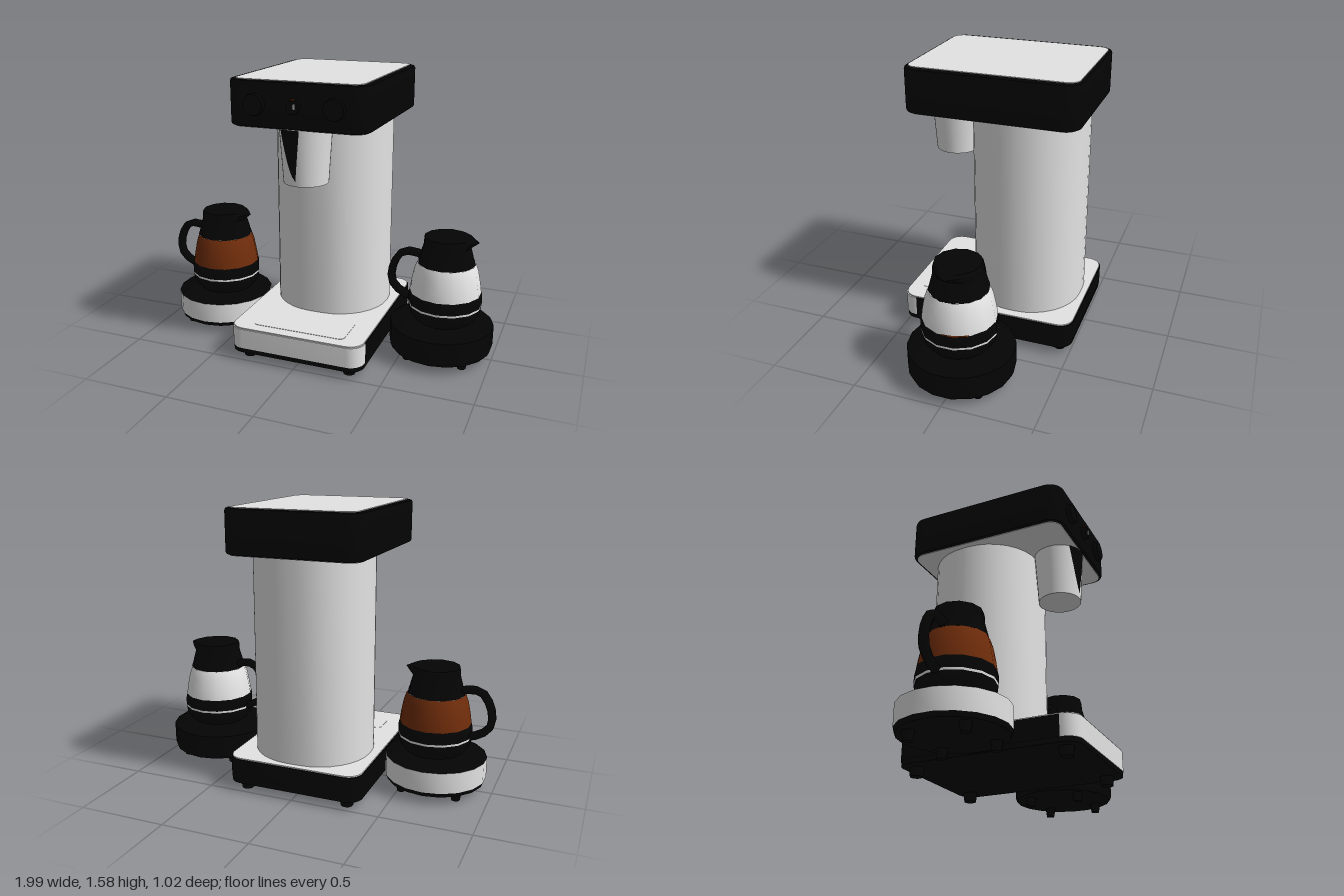
import * as THREE from 'three';
import { toCreasedNormals } from 'three/addons/utils/BufferGeometryUtils.js';

const mat = (name, color, side = THREE.FrontSide) => {
  const m = new THREE.MeshStandardMaterial({ color, side });
  m.name = name;
  return m;
};

export function createModel() {
  const black = mat('black plastic', 0x040404, THREE.DoubleSide);
  const silver = mat('brushed silver', 0xe3e3e3);
  const white = mat('pale glass', 0xfafafa);
  const brown = mat('brown coffee', 0x702d0b);
  const model = new THREE.Group();
  model.name = 'coffeeBrewer';

  const add = (parent, name, geo, material, x = 0, y = 0, z = 0) => {
    const mesh = new THREE.Mesh(geo, material);
    mesh.name = name;
    mesh.position.set(x, y, z);
    parent.add(mesh);
    return mesh;
  };

  // Rounded rectangle in plan; shape y points to -z after rotation
  const plan = (w, d, r) => {
    const s = new THREE.Shape(), a = w / 2, b = d / 2;
    s.moveTo(-a + r, -b).lineTo(a - r, -b);
    s.absarc(a - r, -b + r, r, -Math.PI / 2, 0);
    s.absarc(a - r, b - r, r, 0, Math.PI / 2);
    s.absarc(-a + r, b - r, r, Math.PI / 2, Math.PI);
    s.absarc(-a + r, -b + r, r, Math.PI, Math.PI * 1.5);
    return s;
  };
  // Upright slab from a plan shape, with an optional edge bevel
  const slab = (shape, h, bevel = 0, segs = 4, crease = 0.5) => {
    const g = new THREE.ExtrudeGeometry(shape, {
      depth: h - 2 * bevel, bevelEnabled: bevel > 0, bevelSize: bevel,
      bevelOffset: -bevel, bevelThickness: bevel, bevelSegments: 2, curveSegments: segs,
    });
    g.translate(0, 0, bevel).rotateX(-Math.PI / 2);
    return toCreasedNormals(g, crease);
  };
  const lathe = (pts, sides, start = 0, length = Math.PI * 2) => toCreasedNormals(
    new THREE.LatheGeometry(pts.map(p => new THREE.Vector2(...p)), sides, start, length), 0.6);

  // Base: black tray with a silver front and top
  const base = new THREE.Group();
  base.name = 'base';
  model.add(base);
  add(base, 'baseBottom', slab(plan(0.776, 1.014, 0.08), 0.027), black, 0, 0.05);
  const rear = new THREE.Shape();
  rear.moveTo(-0.39, -0.42).lineTo(0.39, -0.42).lineTo(0.39, 0.43);
  rear.absarc(0.31, 0.43, 0.08, 0, Math.PI / 2);
  rear.absarc(-0.31, 0.43, 0.08, Math.PI / 2, Math.PI);
  add(base, 'baseBody', slab(rear, 0.116), black, 0, 0.077);
  const front = new THREE.Shape();
  front.moveTo(0.39, -0.42).lineTo(-0.39, -0.42);
  front.absarc(-0.31, -0.43, 0.08, Math.PI, Math.PI * 1.5);
  front.absarc(0.31, -0.43, 0.08, Math.PI * 1.5, Math.PI * 2);
  add(base, 'baseFront', slab(front, 0.116), silver, 0, 0.077);
  add(base, 'baseTop', slab(plan(0.77, 1.01, 0.08), 0.007), silver, 0, 0.193);
  add(base, 'dripPlate', slab(plan(0.54, 0.22, 0.03), 0.003), silver, 0, 0.199, 0.33);
  const foot = new THREE.CylinderGeometry(0.042, 0.034, 0.055, 10);
  for (const x of [-0.3, 0.3]) for (const z of [-0.43, 0.42]) add(base, 'foot', foot, black, x, 0.0275, z);

  // Nearly round column
  add(model, 'column', slab(plan(0.67, 0.63, 0.3), 1.14, 0, 4, 0.6), silver, 0, 0.195, -0.155);

  // Head with silver lid and underside
  const head = new THREE.Group();
  head.name = 'head';
  model.add(head);
  add(head, 'headBody', slab(plan(0.78, 0.96, 0.09), 0.244, 0.015), black, 0, 1.329, -0.03);
  add(head, 'headLid', slab(plan(0.71, 0.92, 0.06), 0.007), silver, 0, 1.57, -0.03);
  add(head, 'headUnderside', slab(plan(0.74, 0.92, 0.07), 0.006), silver, 0, 1.325, -0.03);
  const knob = (x, r, depth) => {
    const g = new THREE.CylinderGeometry(r * 0.92, r, depth, 16).rotateX(Math.PI / 2);
    add(head, 'knob', g, black, x, 1.45, 0.46);
  };
  knob(-0.22, 0.06, 0.028);
  knob(0.22, 0.06, 0.028);
  knob(0, 0.038, 0.03);
  add(head, 'switchMark', new THREE.BoxGeometry(0.008, 0.025, 0.006), silver, 0.012, 1.455, 0.477);
  add(head, 'switchLamp', new THREE.BoxGeometry(0.02, 0.005, 0.02), brown, -0.005, 1.488, 0.46);

  // Filter basket with a dark wedge opening on its front
  const basket = new THREE.Group();
  basket.name = 'filterBasket';
  model.add(basket);
  add(basket, 'basketCup', new THREE.CylinderGeometry(0.143, 0.122, 0.31, 32), silver, 0, 1.177, 0.29);
  const slot = new THREE.PlaneGeometry(1, 1, 6, 10);
  const sp = slot.attributes.position;
  for (let i = 0; i < sp.count; i++) {
    const u = sp.getX(i) + 0.5, t = sp.getY(i) + 0.5, y = 1.05 + 0.275 * t;
    const left = -0.01 - 0.09 * Math.pow(t, 0.65), right = -0.01 + 0.03 * t;
    const x = left + (right - left) * u, r = 0.122 + (y - 1.022) * 0.068 + 0.003;
    sp.setXYZ(i, x, y, 0.29 + Math.sqrt(r * r - x * x));
  }
  slot.computeVertexNormals();
  add(basket, 'basketSlot', slot, black);

  // Hot plate on four feet
  const hotPlate = (x, r, rim) => {
    const g = new THREE.Group();
    g.name = 'hotPlate';
    g.position.x = x;
    model.add(g);
    add(g, 'plateBottom', lathe([[0, 0.05], [r - 0.01, 0.05], [r, 0.075]], 18), black);
    add(g, 'plateRim', lathe([[r, 0.075], [r, 0.192]], 18), rim);
    add(g, 'plateTop', lathe([[r, 0.192], [r - 0.02, 0.203], [0, 0.203]], 18), black);
    const pf = new THREE.CylinderGeometry(0.034, 0.024, 0.055, 8);
    for (const fx of [-0.155, 0.155]) for (const fz of [-0.15, 0.15]) add(g, 'foot', pf, black, fx, 0.0275, fz);
  };

  // Jug: black bowl with a pale ring, coloured glass, lid with a drawn-out lip, and handle
  const jug = (x, glass) => {
    const g = new THREE.Group();
    g.name = 'jug';
    g.position.x = x;
    model.add(g);
    add(g, 'jugBowl', lathe([[0, 0.204], [0.12, 0.204], [0.165, 0.22], [0.2, 0.27], [0.205, 0.307]], 14), black);
    add(g, 'jugRing', lathe([[0.205, 0.307], [0.206, 0.319]], 14), white);
    add(g, 'jugBand', lathe([[0.206, 0.319], [0.206, 0.36], [0.2, 0.385]], 14), black);
    add(g, 'jugGlass', lathe([[0.2, 0.385], [0.192, 0.44], [0.178, 0.51], [0.162, 0.555]], 14), glass);
    const lid = lathe([[0.162, 0.555], [0.155, 0.575], [0.133, 0.655], [0.132, 0.69], [0.128, 0.706], [0, 0.71]], 12);
    const p = lid.attributes.position;
    for (let i = 0; i < p.count; i++) { // pull the lip forward
      const y = p.getY(i), out = Math.max(0, p.getX(i)) / 0.132;
      if (y > 0.67) p.setX(i, p.getX(i) + (y < 0.7 ? 0.045 : 0.02) * Math.pow(out, 6));
    }
    add(g, 'jugLid', toCreasedNormals(lid, 0.6), black);
    const path = new THREE.CatmullRomCurve3([[-0.12, 0.575], [-0.18, 0.59], [-0.25, 0.585], [-0.305, 0.5],
      [-0.31, 0.4], [-0.26, 0.345], [-0.18, 0.315]].map(([a, b]) => new THREE.Vector3(a, b, 0)));
    const handle = new THREE.TubeGeometry(path, 10, 0.023, 6);
    handle.scale(1, 1, 1.3);
    add(g, 'handle', handle, black);
    return g;
  };

  hotPlate(-0.675, 0.285, silver);
  jug(-0.665, brown);
  hotPlate(0.706, 0.293, black);
  const paleJug = jug(0.72, white);

  // Traces of coffee on the pale jug
  add(paleJug, 'coffeeLine', lathe([[0.203, 0.385], [0.202, 0.393]], 4, 1.5, 0.7), brown);
  add(paleJug, 'coffeeDrip', lathe([[0.14, 0.203], [0.16, 0.214]], 4, -0.4, 0.8), brown);
  return model;
}
